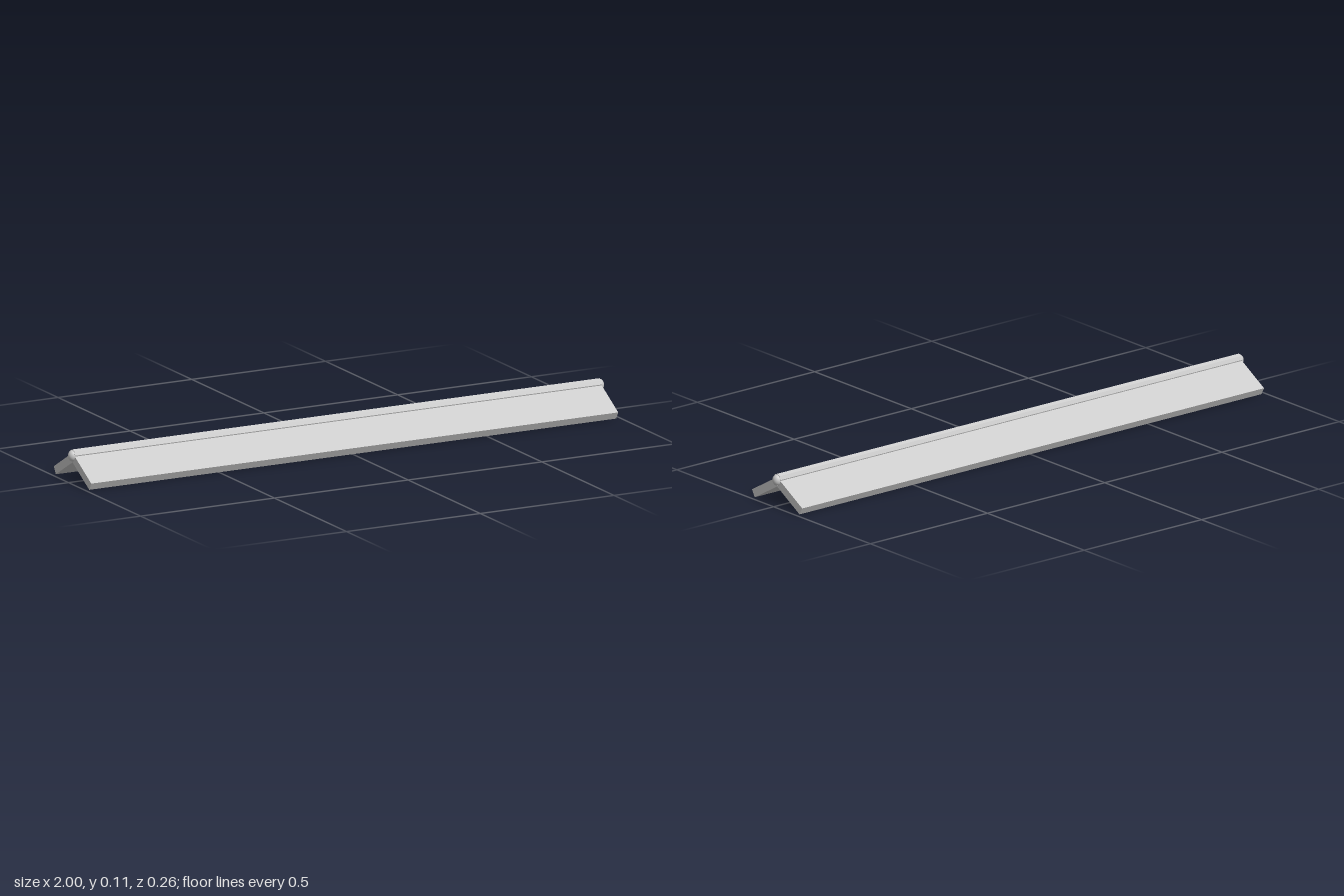
import * as THREE from 'three';

export function createModel() {
  const group = new THREE.Group();
  const flat = new THREE.MeshStandardMaterial({ color: 0xcccccc, flatShading: true });
  const smooth = new THREE.MeshStandardMaterial({ color: 0xcccccc });
  const add = (name, geometry, material, x, y, z) => {
    const mesh = new THREE.Mesh(geometry, material);
    mesh.name = name;
    mesh.position.set(x, y, z);
    group.add(mesh);
    return mesh;
  };

  const halfLength = 0.985, pitch = Math.PI / 6;

  // Two sloping slabs meeting under the ridge
  const slab = new THREE.BoxGeometry(halfLength * 2, 0.028, 0.134);
  for (const s of [1, -1]) {
    add(s > 0 ? 'frontSlab' : 'backSlab', slab, flat, 0, 0.0456, s * 0.065).rotation.x = s * pitch;
  }

  // Eight-sided ridge roll with a corner on top
  const roll = new THREE.CylinderGeometry(0.0175, 0.0175, halfLength * 2, 8).rotateZ(Math.PI / 2);
  add('ridgeRoll', roll, flat, 0, 0.0935, 0);

  // Rounded caps on both ends of the ridge
  const cap = new THREE.SphereGeometry(1, 20, 14).scale(0.015, 0.019, 0.0165);
  for (const s of [1, -1]) {
    add(s > 0 ? 'leftRidgeCap' : 'rightRidgeCap', cap, smooth, s * halfLength, 0.0895, 0);
  }

  return group;
}
